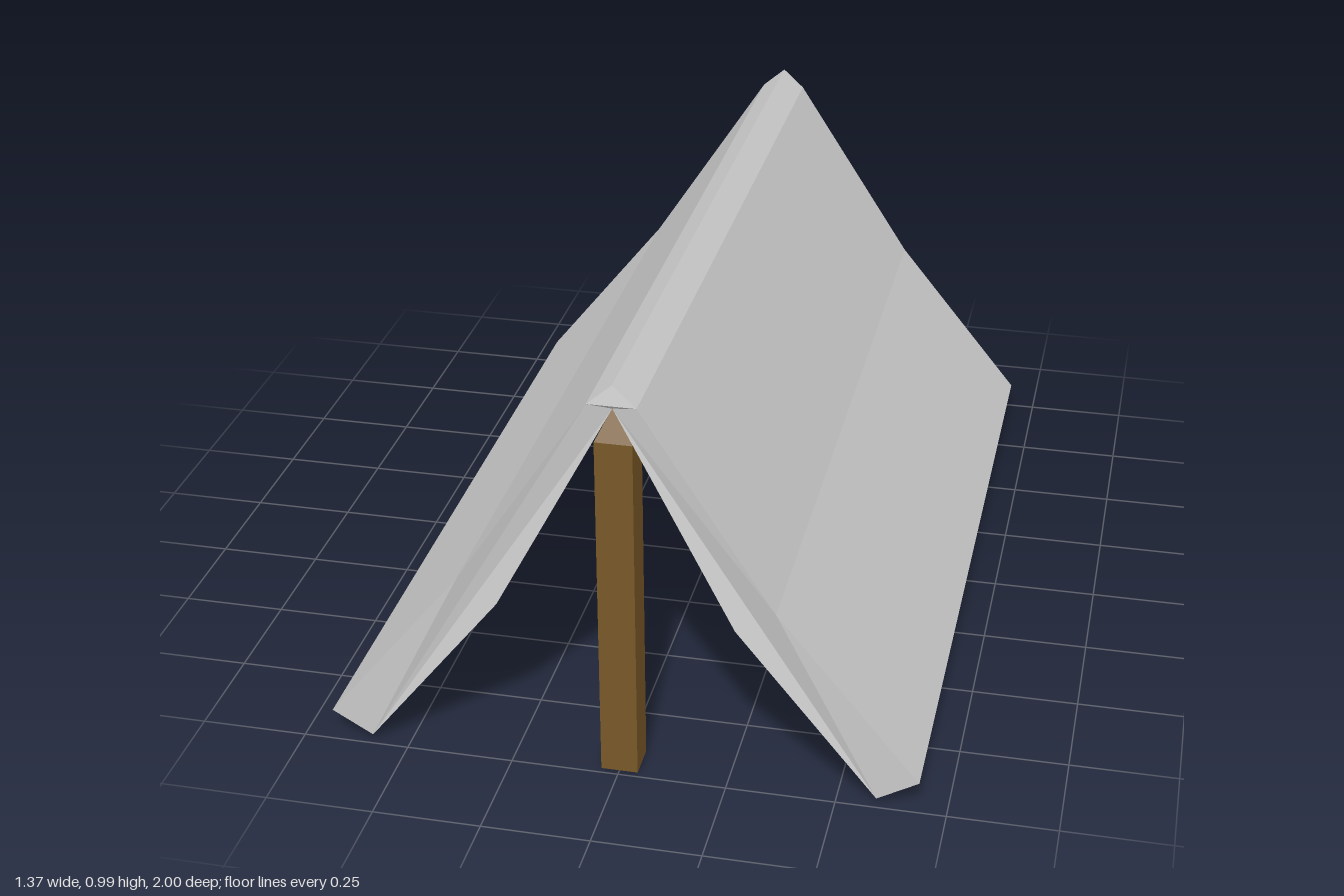
import * as THREE from 'three';

// Bent roof sheet: [x, y, z offset of the ends] for one half, outside then inside
const OUTER = [[0.055, 0.94, 0.012], [0.36, 0.475, 0.019], [0.685, 0.065, 0]];
const INNER = [[0.59, 0.01, 0], [0.27, 0.42, 0.019]];
const RIDGE = [0, 0.985, 0.002];
const UNDER_RIDGE = [0, 0.93, 0.002];

function createRoof(material) {
  const half = [...OUTER, ...INNER];
  const mirrored = half.map(([x, y, z]) => [-x, y, z]).reverse();
  const outline = [RIDGE, ...half, UNDER_RIDGE, ...mirrored];
  const shape = new THREE.Shape(outline.map(([x, y]) => new THREE.Vector2(x, y)));
  const geometry = new THREE.ExtrudeGeometry(shape, { depth: 1.98, bevelEnabled: false });
  geometry.translate(0, 0, -0.999);

  // Push both ends forward along the fold lines
  const pos = geometry.attributes.position;
  for (let i = 0; i < pos.count; i++) {
    const corner = outline.find(([x, y]) =>
      Math.hypot(x - pos.getX(i), y - pos.getY(i)) < 0.001);
    if (corner) pos.setZ(i, pos.getZ(i) + corner[2]);
  }
  geometry.computeVertexNormals();
  const roof = new THREE.Mesh(geometry, material);
  roof.name = 'roof';
  return roof;
}

// Square post with a pointed top
function createPost(name, z, material) {
  const width = 0.085, shaft = 0.845, tip = 0.085;
  const post = new THREE.Group();
  post.name = name;

  const body = new THREE.Mesh(new THREE.BoxGeometry(width, shaft, width), material);
  body.name = 'postShaft';
  body.position.y = shaft / 2;

  const cone = new THREE.ConeGeometry(width / Math.SQRT2, tip, 4, 1, true);
  cone.rotateY(Math.PI / 4);
  const point = new THREE.Mesh(cone, material);
  point.name = 'postTip';
  point.position.y = shaft + tip / 2;

  post.add(body, point);
  post.position.z = z;
  return post;
}

export function createModel() {
  const grey = new THREE.MeshStandardMaterial({ color: 0xcccccc, flatShading: true });
  const wood = new THREE.MeshStandardMaterial({ color: 0x785828, flatShading: true });

  const tent = new THREE.Group();
  tent.name = 'tent';
  tent.add(
    createRoof(grey),
    createPost('frontPost', 0.942, wood),
    createPost('backPost', -0.957, wood)
  );
  return tent;
}
